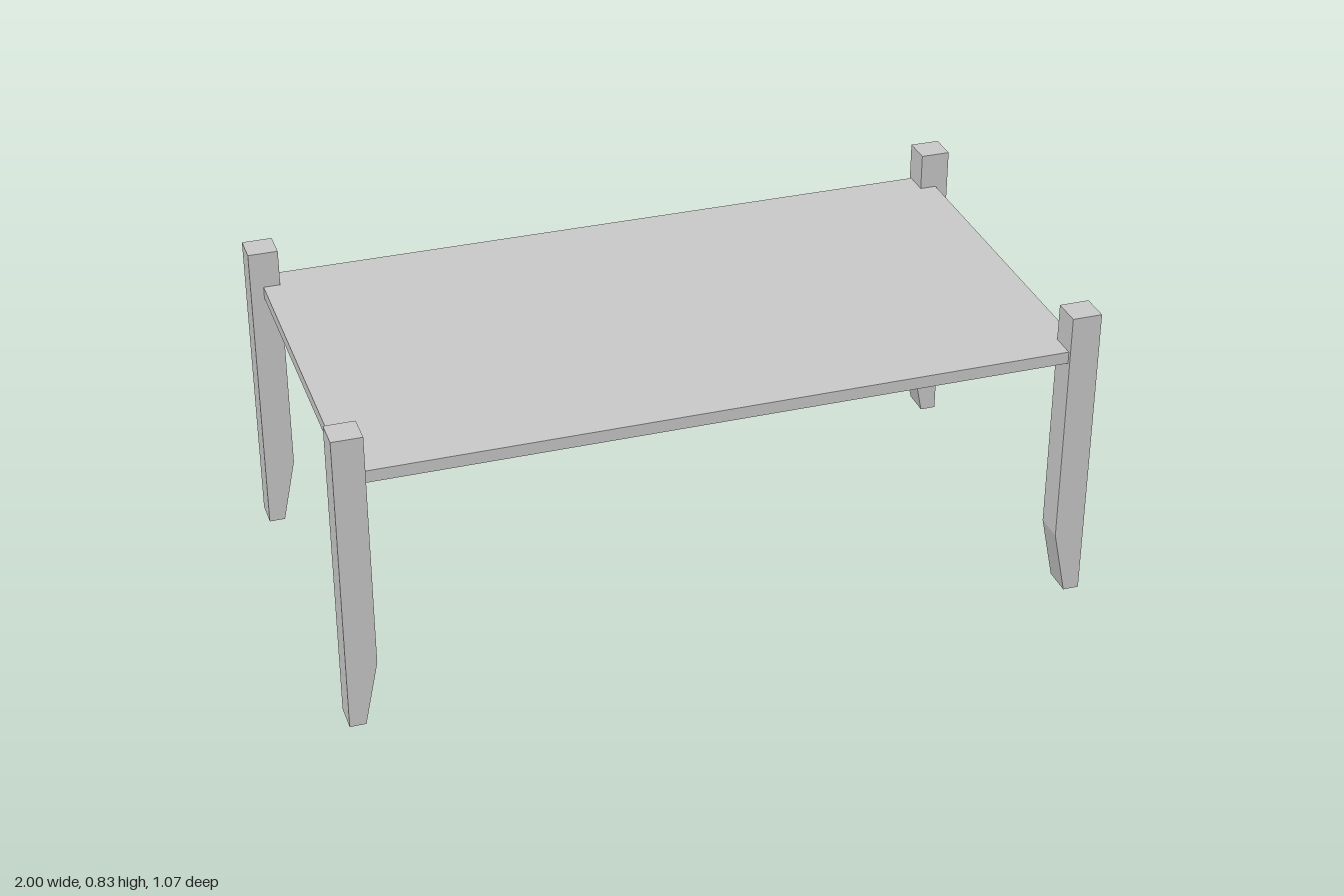
import * as THREE from 'three';

const material = new THREE.MeshStandardMaterial({
  color: 0xcccccc, flatShading: true, side: THREE.DoubleSide,
});

// Box without its underside
function openBox(width, height, depth, rows = 1) {
  const box = new THREE.BoxGeometry(width, height, depth, 1, rows, 1);
  const bottom = box.groups[3];
  const index = Array.from(box.index.array);
  index.splice(bottom.start, bottom.count);
  box.setIndex(index);
  box.clearGroups();
  return box;
}

// Square post whose inner side tapers near the foot; outer side faces sx
function legGeometry(sx) {
  const size = 0.08, height = 0.835, bend = 0.18, foot = 0.043;
  const geo = openBox(size, height, size, 2);
  geo.translate(0, height / 2, 0);
  const p = geo.attributes.position;
  for (let i = 0; i < p.count; i++) {
    const y = p.getY(i);
    if (y < 0.01 && p.getX(i) * sx < 0) p.setX(i, sx * (size / 2 - foot));
    else if (y > 0.01 && y < height - 0.01) p.setY(i, bend);
  }
  const flat = geo.toNonIndexed();
  flat.computeVertexNormals();
  return flat;
}

export function createModel() {
  const table = new THREE.Group();
  table.name = 'table';

  // Thin top, hollow underneath
  const top = new THREE.Mesh(openBox(1.93, 0.033, 1.055), material);
  top.name = 'tableTop';
  top.position.y = 0.718;
  table.add(top);

  // Four corner posts rising above the top
  for (const sx of [-1, 1]) {
    for (const sz of [-1, 1]) {
      const leg = new THREE.Mesh(legGeometry(sx), material);
      leg.name = (sz > 0 ? 'front' : 'back') + (sx > 0 ? 'Left' : 'Right') + 'Leg';
      leg.position.set(sx * 0.96, 0, sz * 0.497);
      table.add(leg);
    }
  }
  return table;
}
